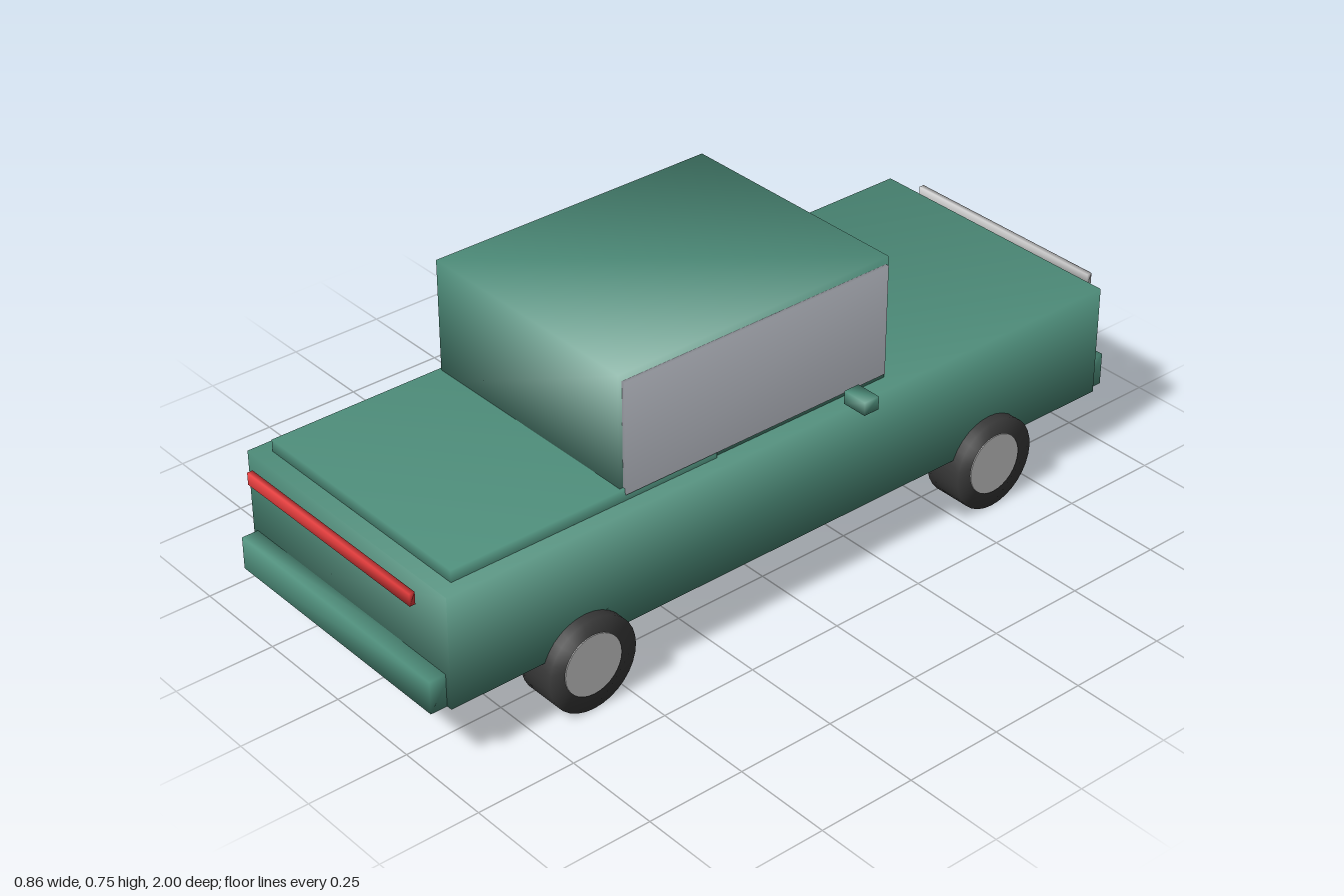
import * as THREE from 'three';
import { mergeVertices } from 'three/addons/utils/BufferGeometryUtils.js';

const paint = (color) => new THREE.MeshStandardMaterial({ color });

// Weld corners so the shading runs smoothly over the edges
function soften(geometry) {
  geometry.deleteAttribute('normal');
  geometry.deleteAttribute('uv');
  const welded = mergeVertices(geometry, 1e-4);
  welded.computeVertexNormals();
  return welded;
}

export function createModel() {
  const car = new THREE.Group();
  car.name = 'car';
  const green = paint(0x4f8f7c), glass = paint(0xd8dce6), rubber = paint(0x3a3a3a);
  const red = paint(0xe53c3c), white = paint(0xe6e6e6), dark = paint(0x444444), rim = paint(0xcccccc);

  // Box given by its extents on each axis
  function block(name, material, [x0, x1], [y0, y1], [z0, z1]) {
    const mesh = new THREE.Mesh(soften(new THREE.BoxGeometry(x1 - x0, y1 - y0, z1 - z0)), material);
    mesh.position.set((x0 + x1) / 2, (y0 + y1) / 2, (z0 + z1) / 2);
    mesh.name = name;
    car.add(mesh);
  }

  // Body, raised deck and cabin
  block('body', green, [-0.358, 0.358], [0.16, 0.443], [-0.955, 0.955]);
  block('deck', green, [-0.321, 0.321], [0.42, 0.473], [0.2, 0.915]);
  block('cabin', green, [-0.314, 0.314], [0.44, 0.755], [-0.3, 0.465]);

  // Bumpers, light bars and plate
  block('frontBumper', green, [-0.343, 0.343], [0.16, 0.242], [0.94, 0.997]);
  block('rearBumper', green, [-0.343, 0.343], [0.16, 0.242], [-0.995, -0.94]);
  block('frontLightBar', red, [-0.293, 0.293], [0.407, 0.438], [0.986, 1]);
  block('rearLightBar', white, [-0.286, 0.286], [0.407, 0.438], [-1, -0.986]);
  block('rearPlate', dark, [-0.235, 0.235], [0.2, 0.27], [-1, -0.985]);

  for (const [side, s] of [['left', 1], ['right', -1]]) {
    const span = (a, b) => (s > 0 ? [a, b] : [-b, -a]);
    block(side + 'Window', glass, span(0.305, 0.323), [0.458, 0.737], [-0.293, 0.456]);
    block(side + 'Mirror', green, span(0.362, 0.428), [0.464, 0.497], [-0.175, -0.133]);

    // Wheels with hubcaps on the outer face
    for (const [end, z] of [['Front', 0.6], ['Rear', -0.6]]) {
      const wheel = new THREE.Group();
      wheel.name = side + end + 'Wheel';
      const tyre = new THREE.Mesh(soften(new THREE.CylinderGeometry(0.118, 0.118, 0.1, 32)), rubber);
      tyre.name = 'tyre';
      const hub = new THREE.Mesh(new THREE.CylinderGeometry(0.077, 0.077, 0.02, 32), rim);
      hub.name = 'hubcap';
      hub.position.y = 0.0425;
      wheel.add(tyre, hub);
      wheel.rotation.z = -s * Math.PI / 2;
      wheel.position.set(s * 0.333, 0.118, z);
      car.add(wheel);
    }
  }
  return car;
}
